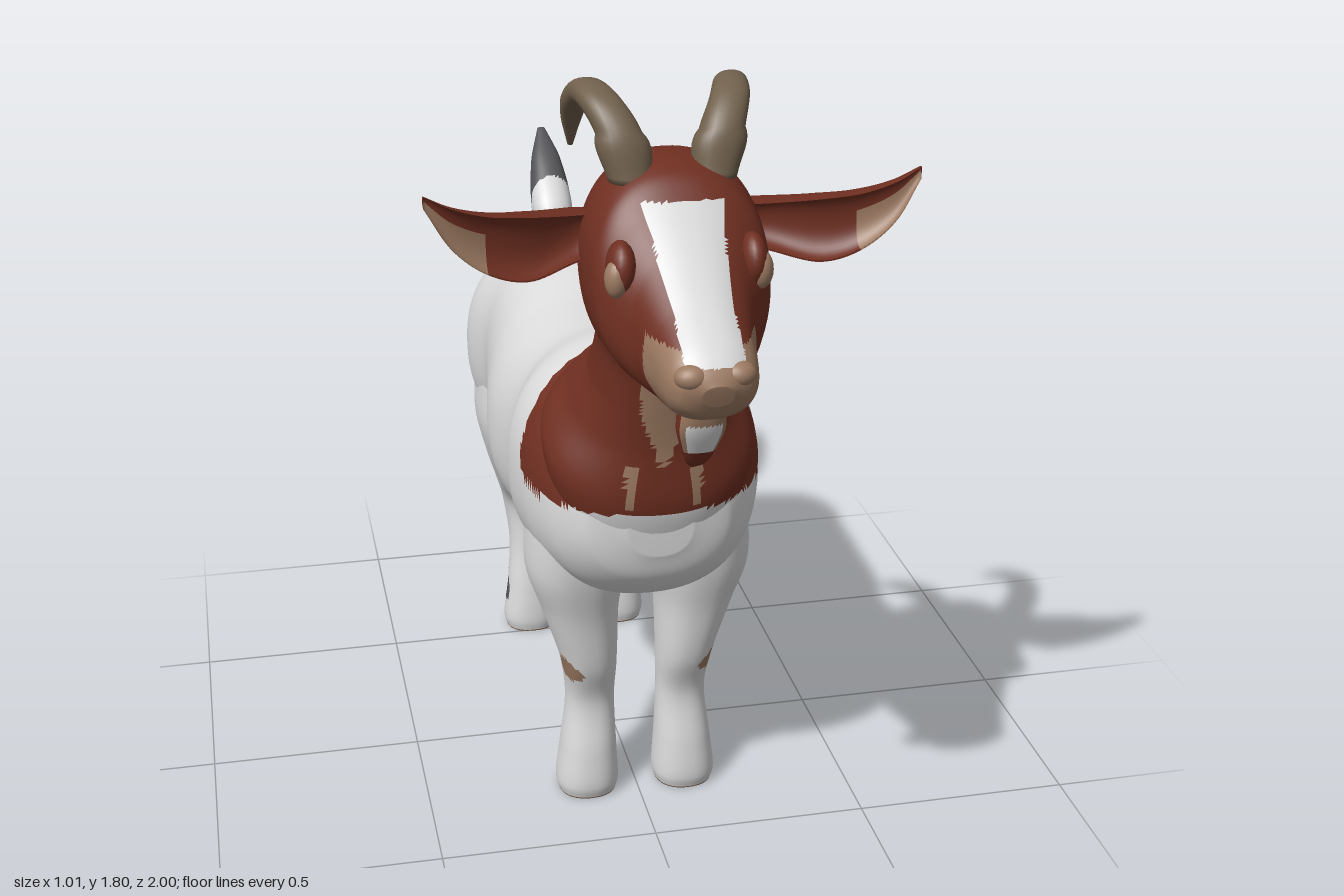
import * as THREE from 'three';

const mat = (name, color) => Object.assign(new THREE.MeshStandardMaterial({ color }), { name });
const MATS = [
  mat('white coat', 0xdadada),
  mat('rust coat', 0x6f2f21),
  mat('tan', 0x9c7a62),
  mat('charcoal', 0x545458),
  mat('horn', 0x71614d),
];
const WHITE = 0, RUST = 1, TAN = 2, CHARCOAL = 3, HORN = 4;

// Smooth loft through oval rings: [z1, y1, z2, y2, halfWidth, xCentre].
// The two points are opposite ends of the ring; paint() picks a colour per face.
function loft(rings, paint, { segs = 48, steps = 9, cup = 1 } = {}) {
  const curve = f => new THREE.CatmullRomCurve3(rings.map(f));
  const first = curve(r => new THREE.Vector3(r[5] || 0, r[1], r[0]));
  const second = curve(r => new THREE.Vector3(r[5] || 0, r[3], r[2]));
  const width = curve(r => new THREE.Vector3(r[4], 0, 0));
  const n = (rings.length - 1) * steps, pos = [], buckets = MATS.map(() => []);
  const soft = v => Math.sign(v) * Math.abs(v) ** 0.88;
  for (let i = 0; i <= n; i++) {
    const p = first.getPoint(i / n), q = second.getPoint(i / n), a = width.getPoint(i / n).x;
    const mid = p.clone().add(q).multiplyScalar(0.5), v = p.sub(q).multiplyScalar(0.5);
    for (let j = 0; j < segs; j++) {
      const t = (j / segs) * Math.PI * 2;
      let c = soft(Math.cos(t));
      const s = soft(Math.sin(t));
      if (c < 0) c *= cup;
      pos.push(mid.x + a * c, mid.y + v.y * s, mid.z + v.z * s);
    }
  }
  // end centres
  for (const i of [0, n]) {
    const c = first.getPoint(i / n).add(second.getPoint(i / n)).multiplyScalar(0.5);
    pos.push(c.x, c.y, c.z);
  }
  const tri = (a, b, c, j) => {
    const m = k => (pos[a * 3 + k] + pos[b * 3 + k] + pos[c * 3 + k]) / 3;
    const t = ((j + 0.5) / segs) * Math.PI * 2;
    buckets[paint(m(0), m(1), m(2), Math.cos(t), Math.sin(t))].push(a, b, c);
  };
  const last = (n + 1) * segs;
  for (let j = 0; j < segs; j++) {
    const k = (j + 1) % segs;
    for (let i = 0; i < n; i++) {
      const a = i * segs + j, b = i * segs + k;
      tri(a, b, b + segs, j);
      tri(a, b + segs, a + segs, j);
    }
    tri(last, k, j, j);
    tri(last + 1, n * segs + j, n * segs + k, j);
  }
  const g = new THREE.BufferGeometry();
  g.setAttribute('position', new THREE.Float32BufferAttribute(pos, 3));
  g.setIndex(buckets.flat());
  let start = 0;
  buckets.forEach((b, m) => {
    if (b.length) g.addGroup(start, b.length, m);
    start += b.length;
  });
  g.computeVertexNormals();
  return g;
}

// Mirrored copy with corner order restored
function mirrored(geo) {
  const g = geo.clone().scale(-1, 1, 1), ix = g.index.array;
  for (let i = 0; i < ix.length; i += 3) [ix[i], ix[i + 1]] = [ix[i + 1], ix[i]];
  return g;
}

// Distance from (z, y) to a segment, for spots and streaks
function dist(z, y, z1, y1, z2 = z1, y2 = y1) {
  const dz = z2 - z1, dy = y2 - y1, l = dz * dz + dy * dy;
  const t = l ? Math.min(1, Math.max(0, ((z - z1) * dz + (y - y1) * dy) / l)) : 0;
  return Math.hypot(z - z1 - t * dz, y - y1 - t * dy);
}

// Bib, throat stripe and belly streak shared by torso and neck
function coat(x, y, z) {
  const ax = Math.abs(x);
  if (ax > 0.08 && dist(z, y, -0.13, 0.555, -0.3, 0.625) < 0.014) return TAN;
  const low = 0.85 + 10 * Math.max(0, 0.36 - z) ** 2;
  if (z < 0.21 + 0.3 * ax || y < low) return WHITE;
  if (z > 0.47 && y > 0.95 && y < 1.23 && ax < 0.055 * Math.min(1, (y - 0.95) / 0.14)) return TAN;
  if (z > 0.44 && y > 0.865 && y < 0.97 && ax > 0.06 && ax < 0.085) return TAN;
  return RUST;
}

function neckAndHead(x, y, z) {
  if (z < 0.62) return y > 1.18 ? RUST : coat(x, y, z);
  const ax = Math.abs(x);
  if (y > 1.365 && y < 1.6 && ax < 0.06 + 0.15 * Math.max(0, y - 1.45)) return WHITE;
  if (y < 1.39 && z > 0.84 + Math.max(0, 1.3 - y) * 0.9) return TAN;
  return RUST;
}

export function createModel() {
  const goat = new THREE.Group();
  goat.name = 'goat';
  const add = (name, geo, m = MATS) => {
    const mesh = new THREE.Mesh(geo, m);
    mesh.name = name;
    goat.add(mesh);
  };
  const pair = (name, geo, m) => {
    add(name + 'Left', geo, m);
    add(name + 'Right', mirrored(geo), m);
  };

  // Torso, rump to chest
  add('torso', loft([
    [-0.70, 0.90, -0.70, 0.78, 0.13], [-0.675, 1.0, -0.68, 0.68, 0.21],
    [-0.60, 1.10, -0.62, 0.60, 0.26], [-0.50, 1.15, -0.50, 0.57, 0.28],
    [-0.37, 1.175, -0.37, 0.575, 0.255], [-0.22, 1.155, -0.22, 0.545, 0.27],
    [-0.08, 1.125, -0.08, 0.515, 0.29], [0.08, 1.125, 0.08, 0.52, 0.26],
    [0.20, 1.14, 0.20, 0.54, 0.285], [0.32, 1.12, 0.33, 0.56, 0.27],
    [0.42, 1.05, 0.43, 0.60, 0.23], [0.50, 0.95, 0.50, 0.67, 0.16],
    [0.53, 0.88, 0.525, 0.74, 0.07],
  ], coat, { segs: 72, steps: 12 }));

  // Neck sweeping up and forward into the head
  add('neckAndHead', loft([
    [0.22, 0.92, 0.50, 0.72, 0.20], [0.21, 1.08, 0.545, 0.86, 0.235],
    [0.24, 1.15, 0.55, 1.0, 0.175], [0.30, 1.19, 0.565, 1.1, 0.14],
    [0.35, 1.28, 0.585, 1.19, 0.13], [0.372, 1.42, 0.61, 1.222, 0.145],
    [0.385, 1.53, 0.635, 1.224, 0.17], [0.44, 1.625, 0.67, 1.224, 0.185],
    [0.53, 1.665, 0.70, 1.223, 0.187], [0.64, 1.645, 0.74, 1.222, 0.18],
    [0.70, 1.59, 0.78, 1.222, 0.158], [0.77, 1.525, 0.83, 1.222, 0.125],
    [0.86, 1.455, 0.88, 1.226, 0.105], [0.95, 1.395, 0.93, 1.24, 0.092],
    [0.985, 1.36, 0.965, 1.26, 0.07], [1.0, 1.335, 0.985, 1.29, 0.03],
  ], neckAndHead, { segs: 80, steps: 11 }));

  // Legs, shoulder or hip down to the hoof
  pair('frontLeg', loft([
    [0.42, 0.78, 0.12, 0.78, 0.10, 0.15], [0.40, 0.62, 0.13, 0.62, 0.113, 0.147],
    [0.37, 0.50, 0.155, 0.50, 0.09, 0.135], [0.345, 0.36, 0.19, 0.36, 0.066, 0.115],
    [0.31, 0.25, 0.205, 0.25, 0.058, 0.11], [0.33, 0.12, 0.19, 0.12, 0.067, 0.115],
    [0.338, 0.03, 0.183, 0.03, 0.074, 0.118], [0.33, 0, 0.19, 0, 0.068, 0.118],
  ], (x, y, z) => {
    if (y < 0.003) return TAN;
    return x > 0.13 && dist(z, y, 0.305, 0.35) < 0.032 ? TAN : WHITE;
  }));
  pair('hindLeg', loft([
    [-0.32, 0.85, -0.66, 0.85, 0.10, 0.15], [-0.31, 0.68, -0.665, 0.68, 0.115, 0.15],
    [-0.35, 0.56, -0.64, 0.56, 0.10, 0.14], [-0.44, 0.46, -0.64, 0.46, 0.08, 0.13],
    [-0.52, 0.37, -0.665, 0.37, 0.065, 0.12], [-0.52, 0.25, -0.635, 0.25, 0.056, 0.115],
    [-0.50, 0.13, -0.62, 0.12, 0.062, 0.118], [-0.49, 0.03, -0.625, 0.03, 0.072, 0.12],
    [-0.495, 0, -0.62, 0, 0.066, 0.12],
  ], (x, y, z) => {
    if (y < 0.003) return TAN;
    if (x > 0.13 && dist(z, y, -0.565, 0.10, -0.60, 0.14) < 0.028) return CHARCOAL;
    if (z < -0.585 && (dist(0, y, 0, 0.15) < 0.03 || (x < 0.13 && dist(0, y, 0, 0.32) < 0.045))) return TAN;
    return x > 0.12 && dist(z, y, -0.37, 0.61, -0.405, 0.55) < 0.022 ? TAN : WHITE;
  }));

  // Raised tail with dark tip
  add('tail', loft([
    [-0.69, 0.94, -0.65, 0.99, 0.036], [-0.78, 1.02, -0.735, 1.07, 0.036],
    [-0.87, 1.075, -0.785, 1.14, 0.054], [-0.91, 1.13, -0.835, 1.185, 0.05],
    [-0.95, 1.2, -0.90, 1.235, 0.038], [-0.995, 1.275, -0.985, 1.285, 0.01],
  ], (x, y, z) => (z < -0.84 ? CHARCOAL : WHITE), { segs: 32 }));

  // Horns curling back
  pair('horn', loft([
    [0.545, 1.62, 0.635, 1.62, 0.046, 0.085], [0.53, 1.70, 0.61, 1.72, 0.046, 0.105],
    [0.50, 1.735, 0.55, 1.78, 0.042, 0.13], [0.455, 1.74, 0.46, 1.797, 0.036, 0.148],
    [0.41, 1.715, 0.39, 1.76, 0.03, 0.16], [0.365, 1.675, 0.335, 1.70, 0.022, 0.16],
    [0.315, 1.615, 0.30, 1.62, 0.006, 0.155],
  ], () => HORN, { segs: 24 }));

  // Cupped ears, lofted forward and then turned sideways
  pair('ear', loft([
    [0.13, 1.55, 0.13, 1.47, 0.09, -0.58], [0.20, 1.555, 0.20, 1.455, 0.13, -0.60],
    [0.30, 1.57, 0.30, 1.437, 0.125, -0.64], [0.38, 1.58, 0.38, 1.46, 0.10, -0.65],
    [0.45, 1.60, 0.45, 1.515, 0.06, -0.65], [0.503, 1.625, 0.503, 1.60, 0.02, -0.64],
  ], (x, y, z, c, s) => (c < 0 && z > 0.38 && s < 0.1 ? TAN : RUST),
  { segs: 40, cup: -0.4 }).rotateY(Math.PI / 2));

  // Beard under the chin
  add('beard', loft([
    [0.91, 1.26, 0.82, 1.26, 0.045], [0.895, 1.20, 0.825, 1.20, 0.05],
    [0.87, 1.15, 0.82, 1.145, 0.038], [0.84, 1.105, 0.81, 1.105, 0.022],
    [0.80, 1.08, 0.792, 1.08, 0.004],
  ], (x, y, z, c, s) => {
    if (s < 0.35 || y < 1.14) return RUST;
    return s > 0.75 && y < 1.21 ? WHITE : TAN;
  }, { segs: 32 }));

  // Eyes, lids and nostril wings
  const ball = (rx, ry, rz, x, y, z) => new THREE.SphereGeometry(1, 20, 14).scale(rx, ry, rz).translate(x, y, z);
  pair('eye', ball(0.024, 0.04, 0.028, 0.145, 1.47, 0.745), MATS[TAN]);
  pair('eyelid', ball(0.03, 0.055, 0.05, 0.132, 1.485, 0.725), MATS[RUST]);
  pair('nostril', ball(0.035, 0.026, 0.03, 0.045, 1.345, 0.963), MATS[TAN]);

  return goat;
}
